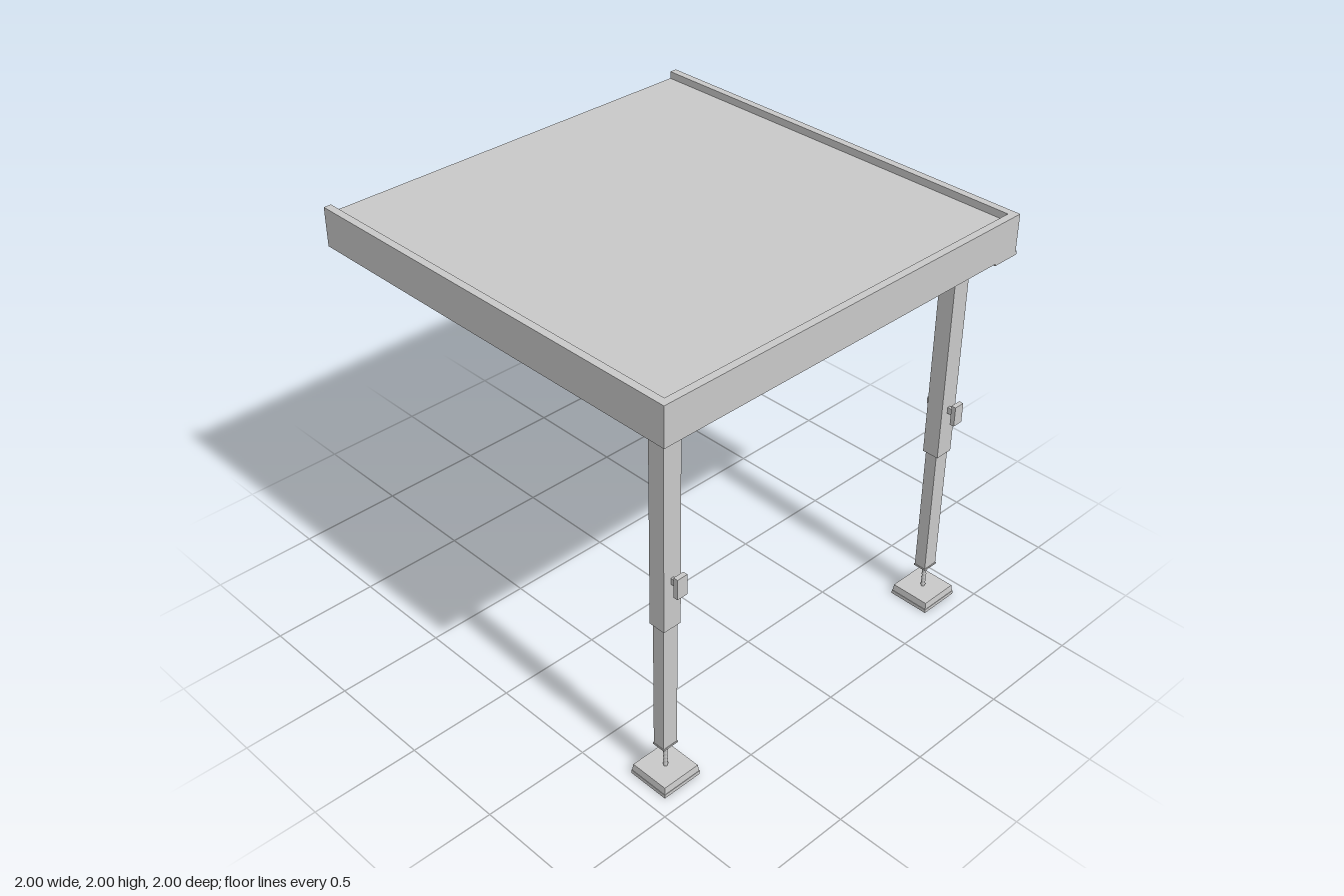
import * as THREE from 'three';

export function createModel() {
  const root = new THREE.Group();
  root.name = 'stagePlatform';
  const grey = new THREE.MeshStandardMaterial({ color: 0xc8c8c8 });
  grey.name = 'aluminium grey';

  const add = (parent, name, geometry) => {
    const mesh = new THREE.Mesh(geometry, grey);
    mesh.name = name;
    parent.add(mesh);
    return mesh;
  };
  // Box given by its extents on each axis
  const box = (parent, name, x0, x1, y0, y1, z0, z1) => {
    const mesh = add(parent, name, new THREE.BoxGeometry(x1 - x0, y1 - y0, z1 - z0));
    mesh.position.set((x0 + x1) / 2, (y0 + y1) / 2, (z0 + z1) / 2);
    return mesh;
  };

  // Edge rails: channel section with a raised lip and an inward bottom flange
  const flange = [[0, 1.82], [0.09, 1.82], [0.09, 1.832], [0.014, 1.832],
    [0.014, 1.945], [0.035, 1.945], [0.035, 2], [0, 2]];
  const groove = [[0, 1.98], [0.016, 1.98], [0.016, 1.962], [0, 1.962]];
  const rail = (name, points, length, angle, x, z) => {
    const shape = new THREE.Shape(points.map(p => new THREE.Vector2(...p)));
    const mesh = add(root, name,
      new THREE.ExtrudeGeometry(shape, { depth: length, bevelEnabled: false }));
    mesh.rotation.y = angle;
    mesh.position.set(x, 0, z);
  };
  rail('frontRail', flange, 2, Math.PI / 2, -1, 0.998);
  rail('backRail', [...flange, ...groove], 2, -Math.PI / 2, 1, -0.993);
  rail('sideRail', flange, 1.991, Math.PI, 1, 0.998);
  box(root, 'backLedge', -1, 1, 1.82, 1.828, -1, -0.99);

  // Deck panel with cross joists beneath it
  box(root, 'deck', -1, 0.985, 1.95, 1.966, -0.98, 0.985);
  box(root, 'middleJoist', -0.03, 0.03, 1.86, 1.95, -0.92, 0.92);
  box(root, 'endJoist', -0.99, -0.955, 1.875, 1.95, -0.91, 0.91);

  // Stacking pads under the rails
  for (const z of [-0.4, 0.4]) box(root, 'sidePad', 0.88, 0.99, 1.812, 1.824, z - 0.05, z + 0.05);
  box(root, 'backPad', -0.65, -0.55, 1.812, 1.824, -0.985, -0.88);

  // Screw rod profile with thread ridges
  const thread = [new THREE.Vector2(0.009, 0.045)];
  for (let y = 0.055; y < 0.175; y += 0.02) {
    thread.push(new THREE.Vector2(0.009, y), new THREE.Vector2(0.0115, y + 0.005),
      new THREE.Vector2(0.009, y + 0.01));
  }
  thread.push(new THREE.Vector2(0.009, 0.18));

  // Telescopic legs, each placed by the height axis of its tube
  const legs = [{ name: 'frontLeg', z: 0.831 }, { name: 'backLeg', z: -0.829 }];
  for (const { name, z } of legs) {
    const leg = new THREE.Group();
    leg.name = name;
    leg.position.set(0.828, 0, z);
    root.add(leg);

    box(leg, 'upperTube', -0.04, 0.04, 0.82, 1.81, -0.045, 0.045);
    box(leg, 'lowerTube', -0.029, 0.029, 0.183, 0.82, -0.038, 0.038);
    box(leg, 'endCap', -0.032, 0.032, 0.175, 0.183, -0.04, 0.04);
    add(leg, 'screwRod', new THREE.LatheGeometry(thread, 12));

    // Foot with a slightly tapered pad: a square frustum on a thin base
    box(leg, 'footBase', -0.1, 0.1, 0, 0.018, -0.1, 0.1);
    const pad = add(leg, 'footPad',
      new THREE.CylinderGeometry(0.094 * Math.SQRT2, 0.098 * Math.SQRT2, 0.032, 4, 1).toNonIndexed());
    pad.geometry.computeVertexNormals();
    pad.rotation.y = Math.PI / 4;
    pad.position.y = 0.034;

    // Clamp bar with its paddle
    box(leg, 'clampBar', -0.073, 0.075, 1.042, 1.072, -0.007, 0.007);
    box(leg, 'clampPaddle', 0.073, 0.095, 1.008, 1.105, -0.026, 0.026);

    // Head plate, locking blade and socket under the deck
    box(leg, 'headPlate', -0.05, 0.075, 1.8, 1.822, -0.06, 0.06);
    box(leg, 'lockBlade', 0.055, 0.074, 1.787, 1.823, -0.02, 0.108);
    box(leg, 'socket', -0.05, 0.05, 1.822, 1.95, -0.055, 0.055);
  }

  // Triangular corner gussets tying the leg sockets to the rails
  for (const s of [-1, 1]) {
    const shape = new THREE.Shape([[0.985, 0.985], [0.985, 0.68], [0.9, 0.68], [0.68, 0.9], [0.68, 0.985]]
      .map(([x, z]) => new THREE.Vector2(x, s * z)));
    const gusset = add(root, 'cornerGusset',
      new THREE.ExtrudeGeometry(shape, { depth: 0.01, bevelEnabled: false }));
    gusset.rotation.x = Math.PI / 2;
    gusset.position.y = 1.843;
  }
  box(root, 'cornerPlate', 0.85, 1, 1.811, 1.822, -1, -0.86);

  return root;
}
